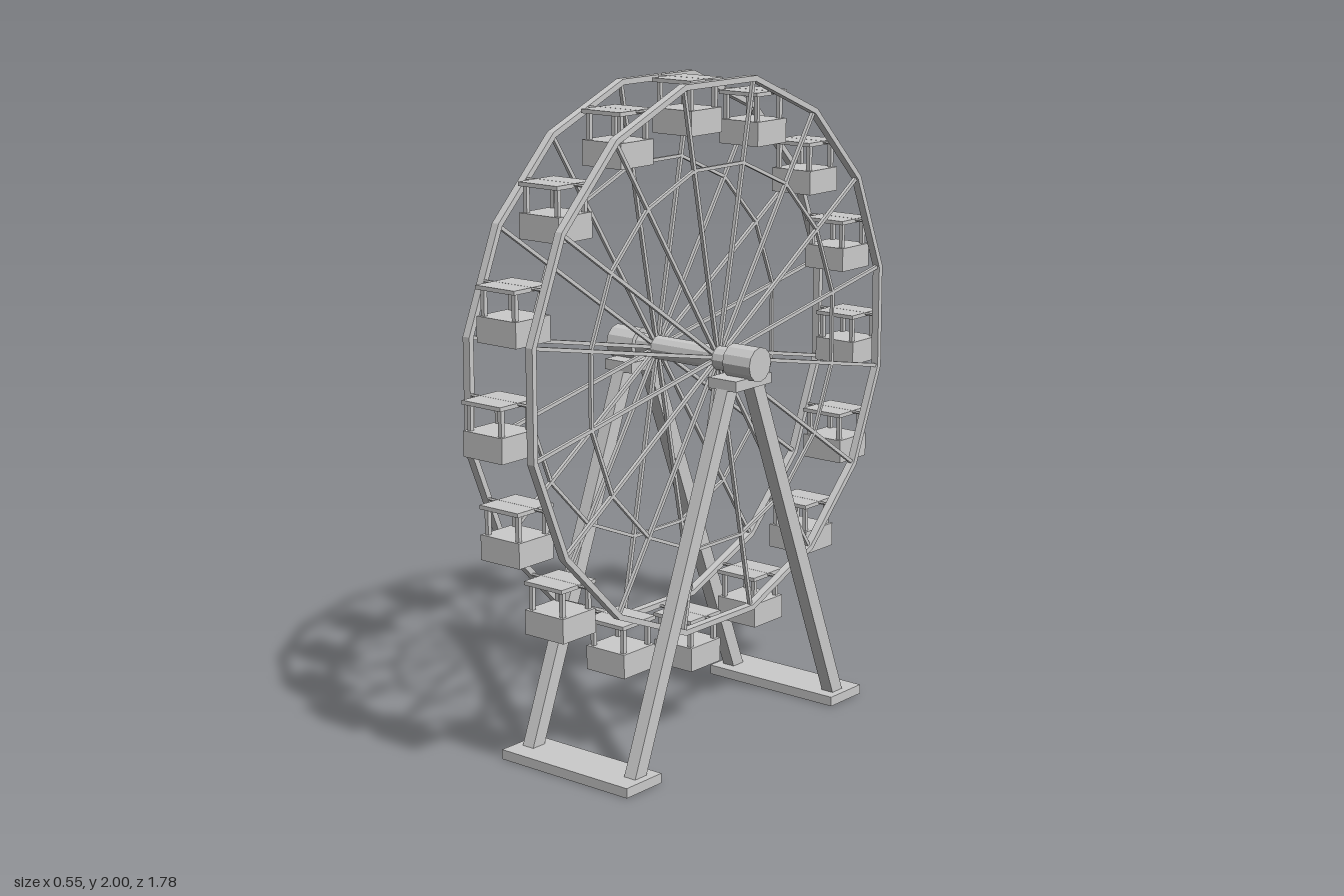
import * as THREE from 'three';

const SIDES = 16;
const HUB_Y = 1.18;
const STEP = (Math.PI * 2) / SIDES;
const grey = new THREE.MeshStandardMaterial({ color: 0xcccccc, flatShading: true });

function add(parent, name, geometry, x = 0, y = 0, z = 0) {
  const mesh = new THREE.Mesh(geometry, grey);
  mesh.name = name;
  mesh.position.set(x, y, z);
  parent.add(mesh);
  return mesh;
}

function box(parent, name, w, h, d, x, y, z) {
  return add(parent, name, new THREE.BoxGeometry(w, h, d), x, y, z);
}

// Cylinder lying along x
function rod(parent, name, radius, length, sides, x, y, z) {
  const geometry = new THREE.CylinderGeometry(radius, radius, length, sides).rotateZ(Math.PI / 2);
  return add(parent, name, geometry, x, y, z);
}

// Square beam between two points that share the same x
function beam(parent, name, x, y1, z1, y2, z2, width, depth) {
  const length = Math.hypot(y2 - y1, z2 - z1);
  const mesh = box(parent, name, width, length, depth, x, (y1 + y2) / 2, (z1 + z2) / 2);
  mesh.rotation.x = Math.atan2(z2 - z1, y2 - y1);
  return mesh;
}

// Polygon with a flat side on top, given the distance from centre to a side
function polygon(apothem, Type) {
  const r = apothem / Math.cos(STEP / 2);
  const points = [];
  for (let i = 0; i < SIDES; i++) {
    const a = (i + 0.5) * STEP;
    points.push(new THREE.Vector2(r * Math.cos(a), r * Math.sin(a)));
  }
  return new Type(points);
}

// Polygonal hoop standing in the yz plane
function hoop(outer, thickness, width) {
  const shape = polygon(outer, THREE.Shape);
  shape.holes.push(polygon(outer - thickness, THREE.Path));
  return new THREE.ExtrudeGeometry(shape, { depth: width, bevelEnabled: false })
    .translate(0, 0, -width / 2)
    .rotateY(Math.PI / 2);
}

// Cabin hanging from its roof at the group's origin
function createCabin() {
  const cabin = new THREE.Group();
  cabin.name = 'cabin';
  box(cabin, 'cabinRoof', 0.145, 0.012, 0.147, 0, 0, 0);
  box(cabin, 'cabinTub', 0.147, 0.074, 0.14, 0, -0.118, 0);
  for (const x of [-0.058, 0.058]) {
    for (const z of [-0.055, 0.055]) box(cabin, 'cabinPost', 0.013, 0.08, 0.013, x, -0.042, z);
  }
  return cabin;
}

export function createModel() {
  const model = new THREE.Group();
  model.name = 'ferrisWheel';

  // Wheel: two rims with inner hoops and spokes
  const wheel = new THREE.Group();
  wheel.name = 'wheel';
  wheel.position.y = HUB_Y;
  model.add(wheel);
  for (const x of [-0.118, 0.118]) {
    add(wheel, 'outerRim', hoop(0.82, 0.017, 0.025), x);
    add(wheel, 'innerRim', hoop(0.573, 0.01, 0.01), x);
    for (let i = 0; i < SIDES; i++) {
      const a = (i + 0.5) * STEP;
      beam(wheel, 'spoke', x, 0, 0, 0.825 * Math.cos(a), 0.825 * Math.sin(a), 0.011, 0.011);
    }
  }

  // Cabins stay upright on cross rods between the rims
  for (let i = 0; i < SIDES; i++) {
    const y = 0.815 * Math.cos(i * STEP);
    const z = 0.815 * Math.sin(i * STEP);
    rod(wheel, 'crossRod', 0.005, 0.236, 6, 0, y, z);
    const cabin = createCabin();
    cabin.position.set(0, y - 0.002, z);
    wheel.add(cabin);
  }

  // Axle and its end bearings
  rod(model, 'axle', 0.037, 0.4, 12, 0, HUB_Y, 0);
  for (const x of [-0.225, 0.225]) rod(model, 'bearing', 0.052, 0.1, 12, x, HUB_Y, 0);

  // A-frame supports on each side
  for (const x of [-0.2, 0.2]) {
    box(model, 'bearingPlate', 0.105, 0.032, 0.17, x, 1.124, 0);
    for (const s of [-1, 1]) {
      beam(model, 'leg', x, 0.015, s * 0.488, 1.12, s * 0.056, 0.042, 0.047);
    }
  }

  // Ground bases joining the feet
  for (const z of [-0.495, 0.495]) box(model, 'base', 0.49, 0.03, 0.155, 0, 0.015, z);

  return model;
}
